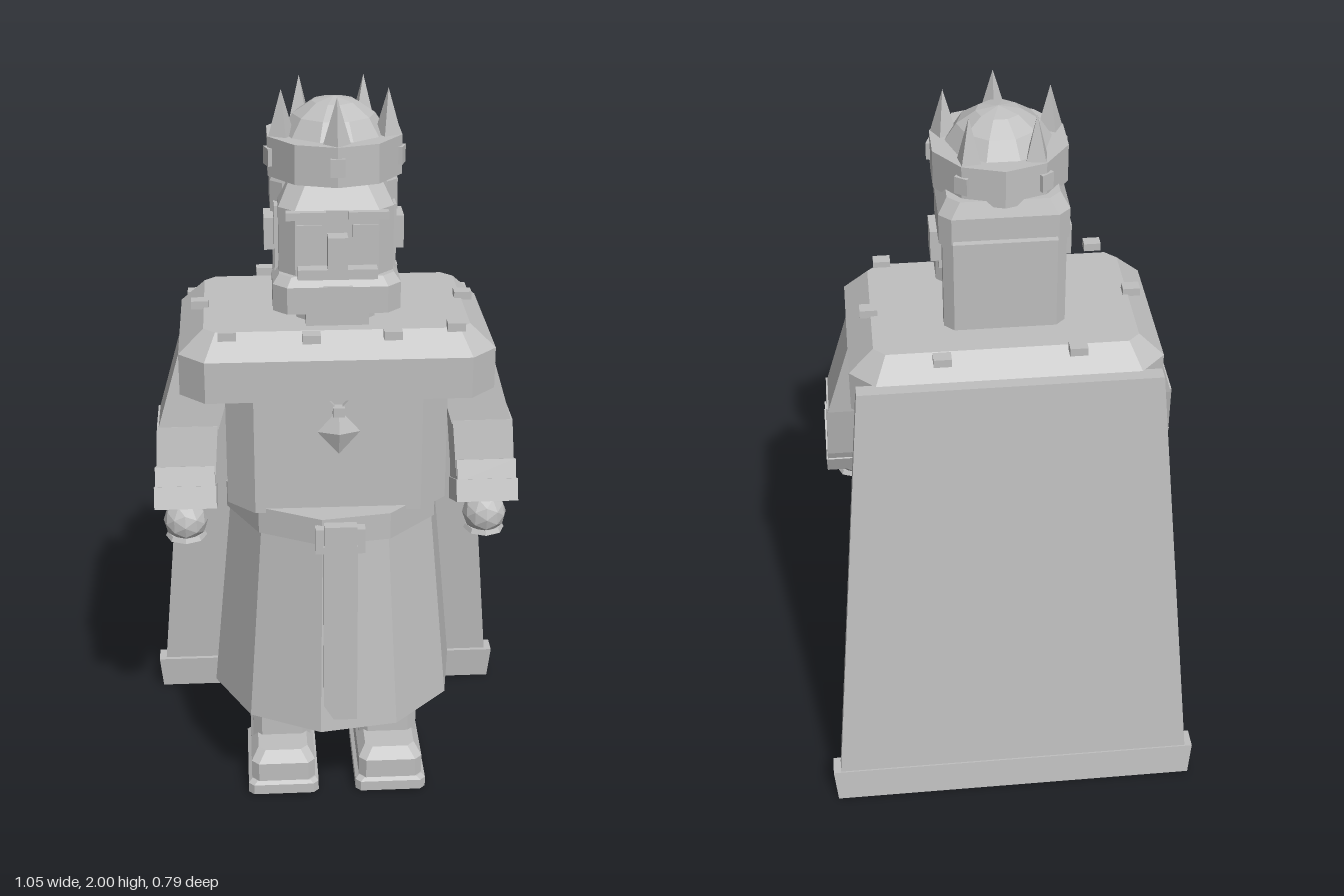
import * as THREE from 'three';

const stone = new THREE.MeshStandardMaterial({ color: 0xbfbfbf });
stone.name = 'stoneGrey';

// Rectangle (or chamfered rectangle) outline, counter-clockwise seen from above
function ring([y, w, front, back, c = 0, x = 0]) {
  const pts = c === 0
    ? [[-w, front], [w, front], [w, back], [-w, back]]
    : [[-w + c, front], [w - c, front], [w, front - c], [w, back + c],
      [w - c, back], [-w + c, back], [-w, back + c], [-w, front - c]];
  return pts.map(([px, pz]) => [px + x, y, pz]);
}

// Closed flat-faced solid through levels [y, halfWidth, front, back, chamfer, x], bottom first
function loft(levels) {
  const rings = levels.map(ring);
  const n = rings[0].length;
  const pos = [];
  const tri = (a, b, c) => pos.push(...a, ...b, ...c);
  for (let k = 0; k + 1 < rings.length; k++) {
    const lo = rings[k], hi = rings[k + 1];
    for (let i = 0; i < n; i++) {
      const j = (i + 1) % n;
      tri(lo[i], lo[j], hi[j]);
      tri(lo[i], hi[j], hi[i]);
    }
  }
  const bottom = rings[0], top = rings[rings.length - 1];
  for (let i = 1; i + 1 < n; i++) {
    tri(bottom[0], bottom[i + 1], bottom[i]);
    tri(top[0], top[i], top[i + 1]);
  }
  const g = new THREE.BufferGeometry();
  g.setAttribute('position', new THREE.Float32BufferAttribute(pos, 3));
  g.computeVertexNormals();
  return g;
}

// Gives any built-in geometry faceted normals
function flat(geometry) {
  const g = geometry.index ? geometry.toNonIndexed() : geometry;
  g.computeVertexNormals();
  return g;
}

export function createModel() {
  const model = new THREE.Group();
  model.name = 'king';

  const add = (name, geometry, x = 0, y = 0, z = 0, parent = model) => {
    const mesh = new THREE.Mesh(geometry, stone);
    mesh.name = name;
    mesh.position.set(x, y, z);
    parent.add(mesh);
    return mesh;
  };
  const box = (name, w, h, d, x, y, z, parent) =>
    add(name, new THREE.BoxGeometry(w, h, d), x, y, z, parent);

  // Legs, boots and arms, mirrored
  for (const s of [1, -1]) {
    const side = s > 0 ? 'left' : 'right';
    const fx = 0.153 * s;
    add(side + 'Sole', loft([
      [0.01, 0.1, 0.26, -0.04, 0.015, fx], [0.04, 0.1, 0.26, -0.04, 0.015, fx],
      [0.048, 0.09, 0.25, -0.03, 0.015, fx]]));
    add(side + 'Boot', loft([
      [0.045, 0.09, 0.25, -0.03, 0.02, fx], [0.105, 0.09, 0.25, -0.03, 0.02, fx],
      [0.132, 0.07, 0.22, -0.01, 0.02, fx]]));
    add(side + 'Leg', loft([
      [0.08, 0.083, 0.142, -0.03, 0.025, fx], [0.29, 0.083, 0.142, -0.03, 0.025, fx]]));
    add(side + 'BootCuff', loft([
      [0.28, 0.096, 0.155, -0.042, 0.025, fx], [0.33, 0.096, 0.155, -0.042, 0.025, fx]]));

    add(side + 'UpperArm', loft([
      [1.11, 0.08, 0.157, 0.008, 0, 0.39 * s], [1.35, 0.08, 0.135, -0.018, 0, 0.32 * s]]));
    add(side + 'Forearm', loft([
      [0.94, 0.078, 0.195, 0.045, 0, 0.402 * s], [1.12, 0.08, 0.157, 0.008, 0, 0.392 * s]]));
    const cuff = box(side + 'Cuff', 0.165, 0.06, 0.165, 0.402 * s, 0.912, 0.147);
    const trim = box(side + 'CuffTrim', 0.158, 0.06, 0.155, 0.402 * s, 0.96, 0.126);
    cuff.rotation.x = trim.rotation.x = -0.4;
    add(side + 'Hand', flat(new THREE.IcosahedronGeometry(0.06, 1)), 0.405 * s, 0.85, 0.16);
    add(side + 'Fingers', flat(new THREE.CylinderGeometry(0.05, 0.056, 0.012, 8)), 0.405 * s, 0.808, 0.16);
  }

  // Ten-sided robe skirt and belt
  const turn = -Math.PI / 20;
  add('robeSkirt', flat(new THREE.CylinderGeometry(0.288, 0.343, 0.56, 10)), 0, 0.587, 0.055).rotation.y = turn;
  add('belt', flat(new THREE.CylinderGeometry(0.297, 0.297, 0.075, 10)), 0, 0.895, 0.055).rotation.y = turn;
  box('sash', 0.09, 0.53, 0.03, 0, 0.605, 0.37);
  box('buckle', 0.13, 0.07, 0.03, 0, 0.88, 0.358);
  box('buckleBar', 0.085, 0.09, 0.03, 0, 0.885, 0.374);

  // Torso and fur mantle
  add('torso', loft([[0.92, 0.29, 0.275, -0.145, 0.072], [1.27, 0.29, 0.275, -0.145, 0.072]]));
  add('mantle', loft([
    [1.25, 0.405, 0.308, -0.232, 0.066], [1.36, 0.405, 0.308, -0.232, 0.066],
    [1.42, 0.34, 0.25, -0.18, 0.03]]));
  const studs = [[-0.175, -0.21], [0.17, -0.225], [-0.35, 0.05], [0.345, 0.015],
    [0.3, 0.25], [-0.28, 0.285], [-0.07, 0.315], [0.135, 0.3]];
  studs.forEach(([x, z]) => box('mantleSpot', 0.046, 0.022, 0.034, x, 1.426, z));

  // Pendant on a short V of chain
  add('pendant', flat(new THREE.OctahedronGeometry(0.055)), 0, 1.16, 0.297).scale.set(1, 1.15, 0.4);
  box('pendantLink', 0.03, 0.025, 0.025, 0, 1.215, 0.292);
  for (const s of [1, -1]) {
    box('chain', 0.012, 0.07, 0.015, 0.025 * s, 1.235, 0.285).rotation.z = -0.75 * s;
  }

  // Cape with hem
  add('cape', loft([[0.06, 0.507, -0.342, -0.384], [1.36, 0.39, -0.225, -0.265]]));
  add('capeHem', loft([[0.005, 0.515, -0.336, -0.394], [0.105, 0.524, -0.326, -0.384]]));

  // Head, hair and beard
  const head = new THREE.Group();
  head.name = 'head';
  model.add(head);
  add('neck', loft([[1.38, 0.1, 0.18, -0.02, 0.03], [1.47, 0.1, 0.18, -0.02, 0.03]]), 0, 0, 0, head);
  add('face', loft([
    [1.46, 0.145, 0.21, -0.06, 0.04], [1.72, 0.145, 0.21, -0.06, 0.04],
    [1.79, 0.11, 0.165, -0.05, 0.04]]), 0, 0, 0, head);
  add('backHair', loft([
    [1.44, 0.155, -0.035, -0.118, 0.025], [1.69, 0.155, -0.035, -0.118, 0.025],
    [1.77, 0.14, -0.035, -0.09, 0.02]]), 0, 0, 0, head);
  add('hairCap', loft([
    [1.68, 0.163, 0.1, -0.115, 0.03], [1.76, 0.163, 0.1, -0.115, 0.03],
    [1.8, 0.14, 0.1, -0.1, 0.03]]), 0, 0, 0, head);
  add('beard', loft([
    [1.46, 0.162, 0.24, 0.065, 0.035], [1.53, 0.162, 0.24, 0.065, 0.035],
    [1.552, 0.145, 0.22, 0.08, 0.03]]), 0, 0, 0, head);
  box('beardTip', 0.16, 0.04, 0.14, 0, 1.447, 0.165, head);
  box('nose', 0.05, 0.085, 0.055, 0, 1.62, 0.227, head);
  box('moustache', 0.2, 0.026, 0.05, 0, 1.565, 0.222, head);
  box('mouth', 0.075, 0.016, 0.008, 0, 1.525, 0.242, head);
  for (const s of [1, -1]) {
    box('brow', 0.1, 0.02, 0.025, 0.078 * s, 1.71, 0.215, head);
    box('eye', 0.065, 0.032, 0.008, 0.07 * s, 1.668, 0.211, head);
    box('ear', 0.04, 0.085, 0.085, 0.16 * s, 1.622, 0.038, head);
    box('sideburn', 0.03, 0.2, 0.06, 0.14 * s, 1.61, 0.1, head);
  }

  // Crown with domed cap, five points and gems
  const crown = new THREE.Group();
  crown.name = 'crown';
  crown.position.set(0, 1.835, 0.062);
  model.add(crown);
  add('crownBand', flat(new THREE.CylinderGeometry(0.177, 0.177, 0.1, 10)), 0, 0, 0, crown);
  add('crownDome', flat(new THREE.SphereGeometry(0.147, 10, 4, 0, Math.PI * 2, 0, Math.PI / 2)), 0, -0.01, 0, crown)
    .scale.y = 1;
  for (let i = 0; i < 5; i++) {
    const a = i * Math.PI * 2 / 5;
    const x = Math.sin(a), z = Math.cos(a);
    add('crownPoint', flat(new THREE.ConeGeometry(0.036, 0.122, 4)), 0.14 * x, 0.104, 0.14 * z, crown).rotation.y = a;
    box('crownGem', 0.036, 0.045, 0.018, 0.173 * x, 0, 0.173 * z, crown).rotation.y = a;
  }

  return model;
}
